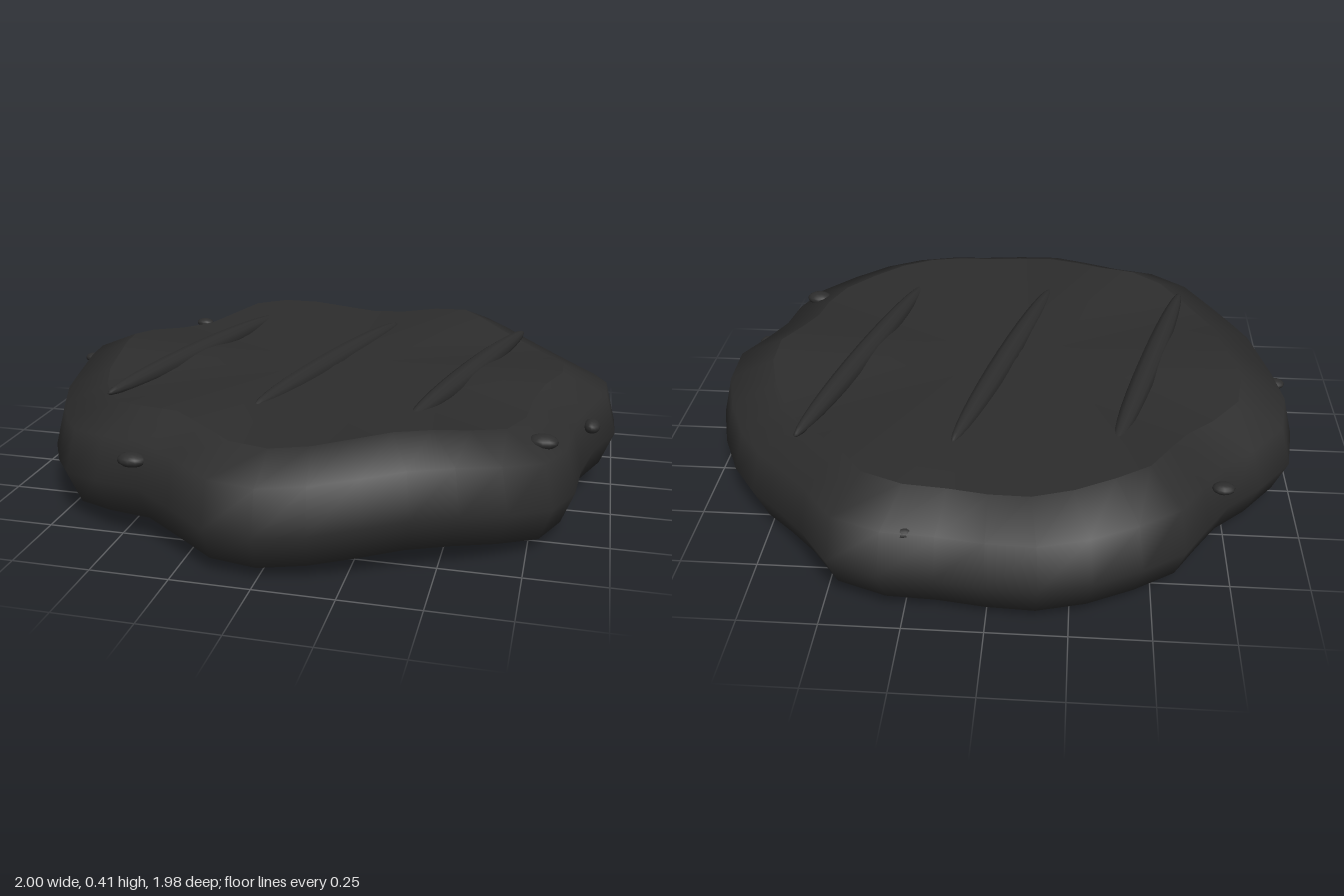
import * as THREE from 'three';

// Outline radius every 9 degrees, starting at the back and turning toward +x
const OUTLINE = [
  0.975, 0.975, 1.025, 1.045, 0.985, 0.965, 0.977, 0.99, 1.0, 1.009,
  0.998, 0.945, 0.942, 0.99, 1.015, 0.985, 0.96, 0.945, 0.95, 0.962,
  0.985, 0.983, 0.935, 0.912, 0.965, 0.995, 0.982, 0.975, 0.968, 0.953,
  0.968, 1.01, 1.022, 0.968, 0.928, 0.955, 1.012, 1.02, 1.018, 1.003,
];
const N = OUTLINE.length;

// Cross-section of the rim, bottom to top: [radius factor, height]
const PROFILE = [[0.81, 0.02], [0.955, 0.058], [1, 0.17], [0.962, 0.31], [0.81, 0.375]];

function ringPoint(i, [factor, y]) {
  const a = (i / N) * Math.PI * 2;
  const r = OUTLINE[i % N] * factor;
  return [Math.sin(a) * r, y - 0.02 * Math.cos(6 * a), -Math.cos(a) * r];
}

function buildGeometry(points, index) {
  const g = new THREE.BufferGeometry();
  g.setAttribute('position', new THREE.Float32BufferAttribute(points.flat(), 3));
  g.setIndex(index);
  g.computeVertexNormals();
  return g;
}

// Smooth wavy side wall
function rimGeometry() {
  const points = [], index = [];
  PROFILE.forEach((p, j) => {
    for (let i = 0; i < N; i++) {
      points.push(ringPoint(i, p));
      if (j === 0) continue;
      const n = (i + 1) % N, lo = (j - 1) * N, hi = j * N;
      index.push(lo + i, hi + i, lo + n, lo + n, hi + i, hi + n);
    }
  });
  return buildGeometry(points, index);
}

// Fan closing the top or the bottom
function capGeometry(p, up) {
  const points = [[0, p[1], 0]], index = [];
  for (let i = 0; i < N; i++) {
    points.push(ringPoint(i, p));
    const cur = i + 1, next = ((i + 1) % N) + 1;
    index.push(0, ...(up ? [next, cur] : [cur, next]));
  }
  return buildGeometry(points, index);
}

export function createModel() {
  const group = new THREE.Group();
  const charred = new THREE.MeshStandardMaterial({ color: 0x2d2d2d });
  charred.name = 'charredBrown';

  const add = (name, geometry) => {
    const mesh = new THREE.Mesh(geometry, charred);
    mesh.name = name;
    group.add(mesh);
    return mesh;
  };

  add('rim', rimGeometry());
  add('topFace', capGeometry(PROFILE[4], true));
  add('bottomFace', capGeometry(PROFILE[0], false));

  // Three slanted grill ridges with pointed ends
  const ridge = new THREE.SphereGeometry(1, 10, 16).rotateX(Math.PI / 2);
  for (const x of [-0.505, 0, 0.5]) {
    const mesh = add('grillRidge', ridge);
    mesh.scale.set(0.04, 0.04, 0.545);
    mesh.position.set(x, 0.37, -0.03);
    mesh.rotation.y = -0.25;
  }

  // Small crumbs around the rim
  const crumb = new THREE.SphereGeometry(1, 12, 8);
  const crumbs = [
    [0.775, 0.32, 0.465], [-0.435, 0.275, 0.79], [0.918, 0.275, 0.175],
    [-0.71, 0.3, -0.64], [0.24, 0.3, -0.91], [-0.94, 0.31, -0.04],
  ];
  for (const [x, y, z] of crumbs) {
    const mesh = add('crumb', crumb);
    const edge = Math.hypot(x, z) > 0.93 && x < 0.5;
    mesh.scale.set(0.047, 0.023, 0.036).multiplyScalar(edge ? 0.75 : 1);
    mesh.position.set(x, y, z);
    if (x > 0.9) mesh.scale.set(0.027, 0.023, 0.036);
  }

  return group;
}
